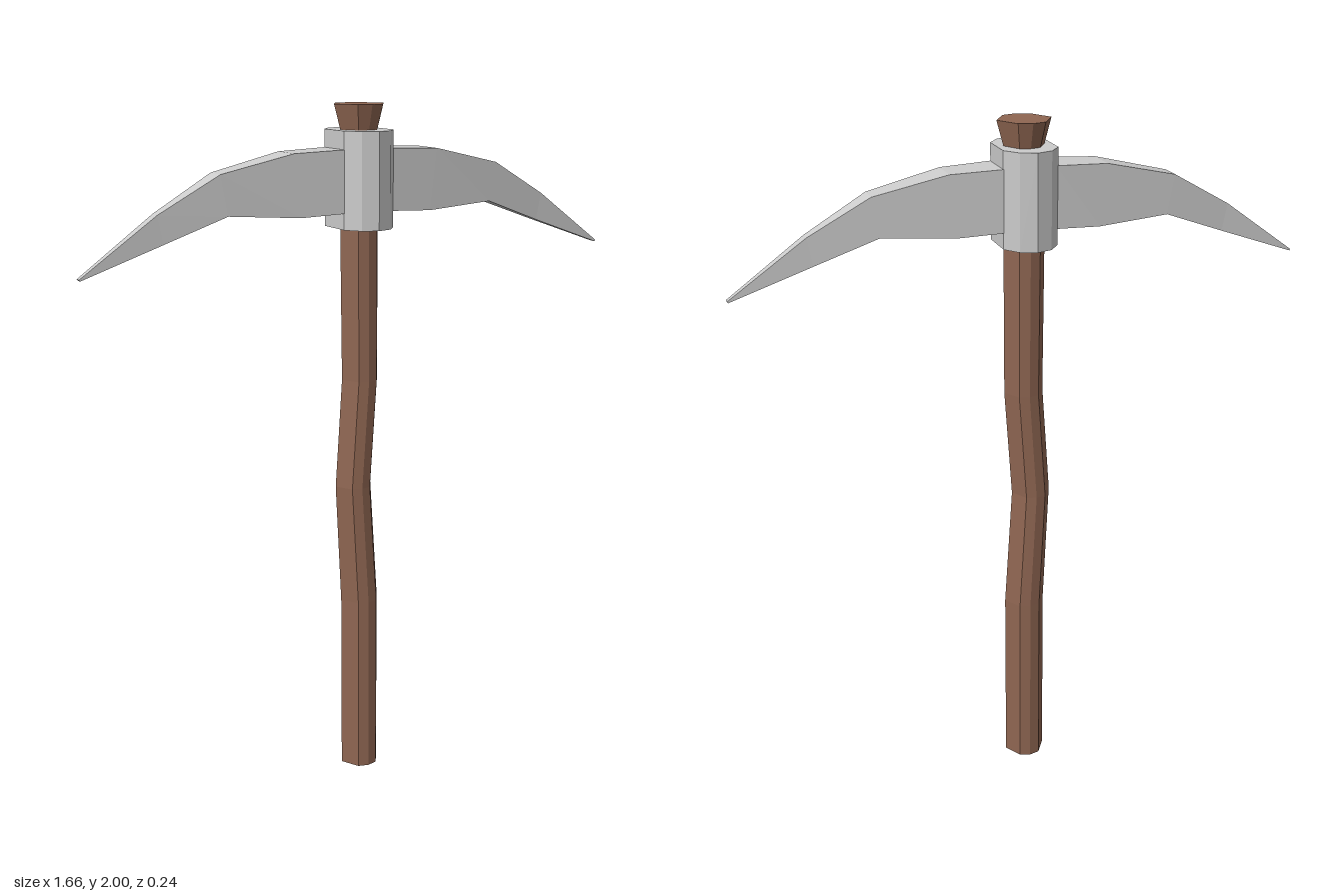
import * as THREE from 'three';

const wood = new THREE.MeshStandardMaterial({ color: 0x8f6652, flatShading: true });
const metal = new THREE.MeshStandardMaterial({ color: 0xcccccc, flatShading: true });

// Skin a row of rings (each counter-clockwise seen from the last ring's end) and cap both ends
function loft(name, rings, material) {
  const pos = [];
  const tri = (...pts) => pts.forEach((p) => pos.push(...p));
  const n = rings[0].length;
  for (let i = 0; i < rings.length - 1; i++) {
    for (let j = 0; j < n; j++) {
      const k = (j + 1) % n;
      const [a, b, c, d] = [rings[i][j], rings[i][k], rings[i + 1][k], rings[i + 1][j]];
      tri(a, b, c);
      tri(a, c, d);
    }
  }
  const first = rings[0], last = rings[rings.length - 1];
  for (let j = 1; j < n - 1; j++) {
    tri(first[0], first[j + 1], first[j]);
    tri(last[0], last[j], last[j + 1]);
  }
  const geometry = new THREE.BufferGeometry();
  geometry.setAttribute('position', new THREE.Float32BufferAttribute(pos, 3));
  geometry.computeVertexNormals();
  const mesh = new THREE.Mesh(geometry, material);
  mesh.name = name;
  return mesh;
}

export function createModel() {
  const group = new THREE.Group();
  group.name = 'pickaxe';

  // Crooked eight-sided handle, flared at the top: [height, sideways shift, radius]
  const angles = [0, 30, 90, 150, 180, 210, 270, 330].map(THREE.MathUtils.degToRad);
  const handleRings = [
    [0, 0, 0.061], [0.54, 0, 0.061], [0.9, -0.02, 0.058],
    [1.22, 0.002, 0.058], [1.66, 0, 0.06], [1.92, 0, 0.056], [2, 0, 0.078],
  ].map(([y, shift, r]) => angles.map((a) => [shift + r * Math.sin(a), y, r * Math.cos(a)]));
  group.add(loft('handle', handleRings, wood));

  // Collar with flat cheeks where the blades leave it
  const outline = [
    [0, 0.118], [0.045, 0.102], [0.078, 0.058], [0.078, -0.058],
    [0.045, -0.102], [0, -0.118], [-0.045, -0.102], [-0.078, -0.058],
    [-0.078, 0.058], [-0.045, 0.102],
  ];
  const collarRings = [1.66, 1.93].map((y) => outline.map(([x, z]) => [x, y, z]));
  group.add(loft('collar', collarRings, metal));

  // Curved blades: [top x, top y, bottom x, bottom y, half thickness], mirrored
  const sections = [
    [0.07, 1.88, 0.07, 1.706, 0.06], [0.225, 1.874, 0.205, 1.7, 0.05],
    [0.435, 1.826, 0.415, 1.714, 0.034], [0.61, 1.727, 0.595, 1.648, 0.018],
    [0.828, 1.571, 0.825, 1.567, 0.009],
  ];
  for (const [name, side] of [['leftBlade', 1], ['rightBlade', -1]]) {
    const rings = sections.map(([tx, ty, bx, by, h]) => [
      [side * tx, ty, -h * side], [side * tx, ty, h * side],
      [side * bx, by, h * side], [side * bx, by, -h * side],
    ]);
    group.add(loft(name, rings, metal));
  }
  return group;
}
